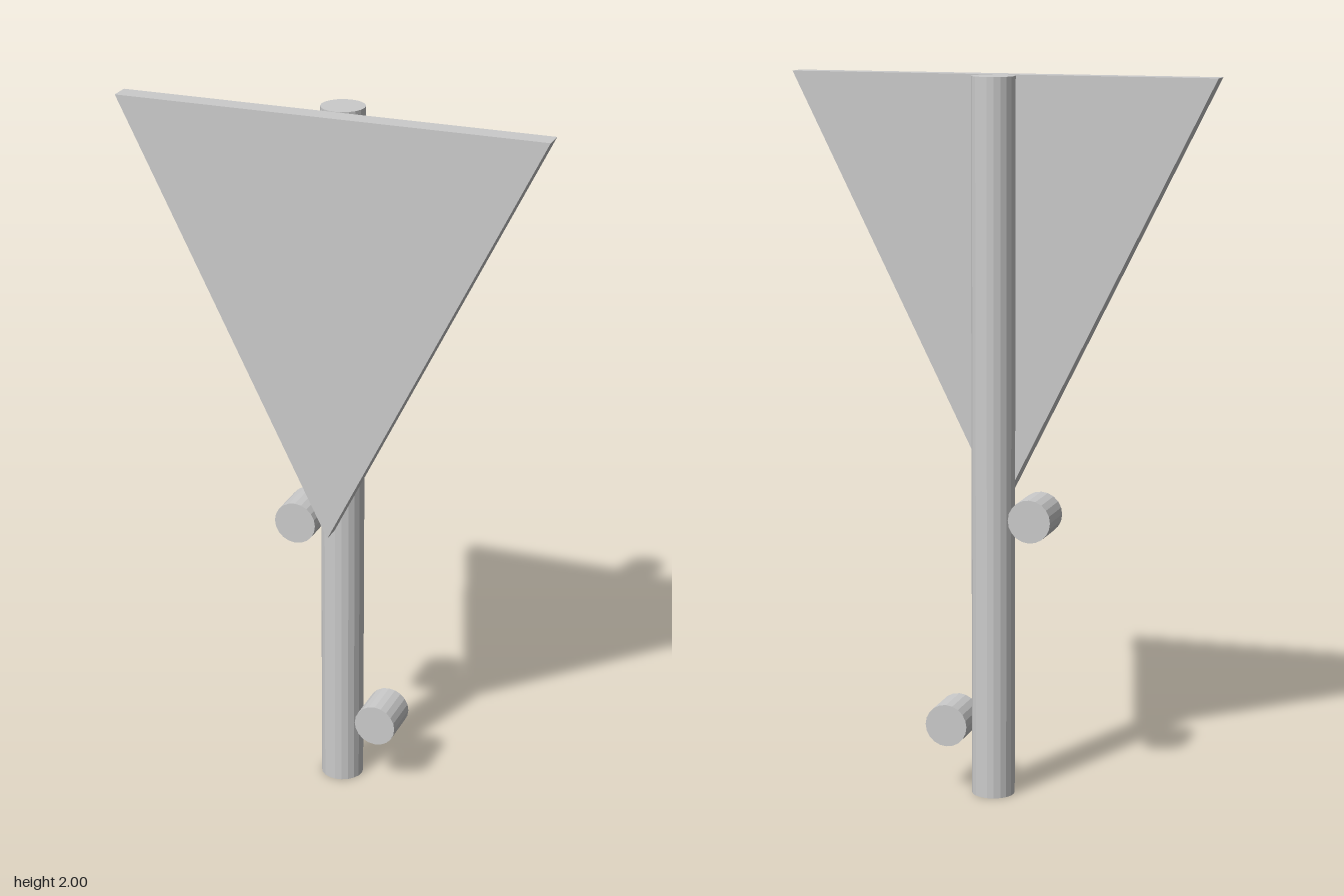
import * as THREE from 'three';

const RADIUS = 0.06;
const POLE_Z = -0.03;

export function createModel() {
  const group = new THREE.Group();
  const material = new THREE.MeshStandardMaterial({ color: 0xcccccc, flatShading: true });

  const add = (name, geometry, x, y, z) => {
    const mesh = new THREE.Mesh(geometry, material);
    mesh.name = name;
    mesh.position.set(x, y, z);
    group.add(mesh);
    return mesh;
  };
  const rod = (length) => new THREE.CylinderGeometry(RADIUS, RADIUS, length, 20);

  // Upright pole, full height
  add('pole', rod(2), 0, 1, POLE_Z);

  // Short pegs lying front to back, touching the sides of the pole
  for (const [name, x, y] of [['upperPeg', -0.12, 0.8], ['lowerPeg', 0.12, 0.2]]) {
    add(name, rod(0.12), x, y, POLE_Z).rotation.x = Math.PI / 2;
  }

  // Triangular plate, point down, on the front of the pole
  const triangle = new THREE.Shape([
    new THREE.Vector2(0, 0.8),
    new THREE.Vector2(0.6, 2),
    new THREE.Vector2(-0.6, 2),
  ]);
  const plate = new THREE.ExtrudeGeometry(triangle, { depth: 0.057, bevelEnabled: false });
  add('trianglePlate', plate, 0, 0, 0.033);

  return group;
}
